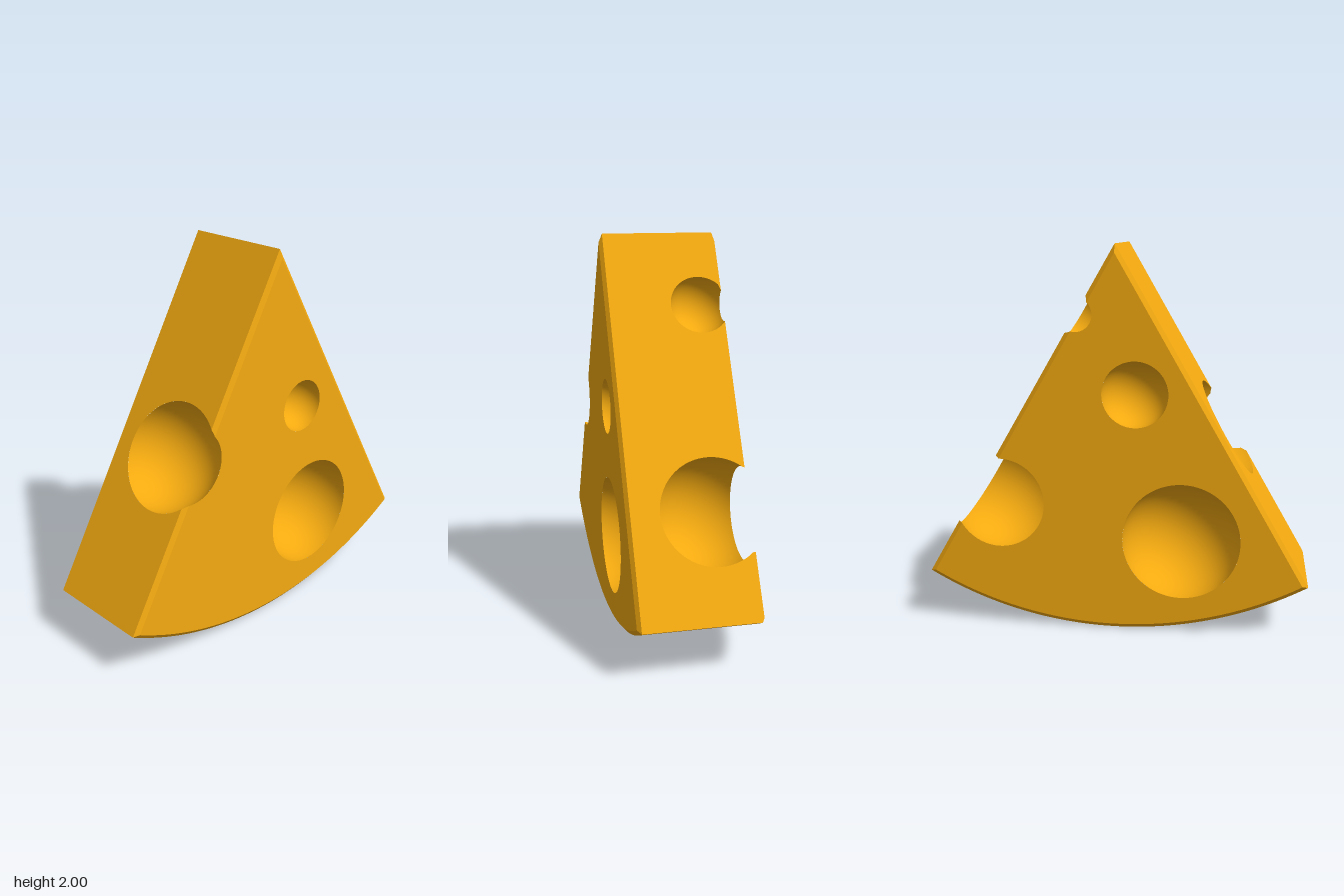
import * as THREE from 'three';

const V = (x, y, z) => new THREE.Vector3(x, y, z);
const R = 2, ZF = 0.305, BEVEL = 0.022, BZ = 0.018; // wedge radius, half thickness, bevel sizes
const C30 = Math.cos(Math.PI / 6);
const material = new THREE.MeshStandardMaterial({ color: 0xf4aa10 });

// Spherical holes: centre and radius
const holes = [
  { name: 'frontLargeHole', c: V(0.265, 0.475, ZF), r: 0.3 },
  { name: 'frontSmallHole', c: V(0.175, 1.14, ZF), r: 0.14 },
  { name: 'backLargeHole', c: V(-0.345, 0.49, -ZF), r: 0.305 },
  { name: 'backSmallHole', c: V(-0.103, 1.253, -ZF), r: 0.17 },
  { name: 'rightEdgeHole', c: V(-0.603, 1.045, 0.09), r: 0.287 },
  { name: 'leftEdgeLargeHole', c: V(0.61, 0.665, -0.122), r: 0.3 },
  { name: 'leftEdgeSmallHole', c: V(0.2, 1.652, -0.18), r: 0.152 },
];

// Keep the part of each triangle where f >= 0
function clip(tris, f) {
  const out = [];
  for (const t of tris) {
    const d = t.map(f);
    if (d.every((v) => v >= 0)) { out.push(t); continue; }
    if (d.every((v) => v < 0)) continue;
    const poly = [];
    for (let i = 0; i < 3; i++) {
      const j = (i + 1) % 3;
      if (d[i] >= 0) poly.push(t[i]);
      if ((d[i] >= 0) !== (d[j] >= 0)) {
        const a = (d[i] >= 0 ? t[i] : t[j]).clone(), b = (d[i] >= 0 ? t[j] : t[i]).clone();
        for (let k = 0; k < 18; k++) {
          const m = a.clone().lerp(b, 0.5);
          (f(m) >= 0 ? a : b).copy(m);
        }
        poly.push(a);
      }
    }
    for (let i = 1; i + 1 < poly.length; i++) out.push([poly[0], poly[i], poly[i + 1]]);
  }
  return out;
}

// Triangles of a parametric patch fn(u, v)
function patch(fn, nu, nv) {
  const tris = [];
  for (let i = 0; i < nu; i++) {
    for (let j = 0; j < nv; j++) {
      const [a, b, c, d] = [[i, j], [i + 1, j], [i + 1, j + 1], [i, j + 1]].map(([u, v]) => fn(u / nu, v / nv));
      tris.push([a, b, c], [a, c, d]);
    }
  }
  return tris;
}

// Mesh whose triangles all turn towards the direction given by facing(point)
function toMesh(name, tris, facing, smooth) {
  const pos = [], nor = [];
  for (const [a, b, c] of tris) {
    const n = b.clone().sub(a).cross(c.clone().sub(a));
    if (n.length() < 1e-10) continue;
    n.normalize();
    const mid = a.clone().add(b).add(c).divideScalar(3);
    const flip = n.dot(facing(mid)) < 0;
    if (flip) n.negate();
    for (const p of flip ? [a, c, b] : [a, b, c]) {
      pos.push(p.x, p.y, p.z);
      const m = smooth ? facing(p).normalize() : n;
      nor.push(m.x, m.y, m.z);
    }
  }
  const g = new THREE.BufferGeometry();
  g.setAttribute('position', new THREE.Float32BufferAttribute(pos, 3));
  g.setAttribute('normal', new THREE.Float32BufferAttribute(nor, 3));
  const mesh = new THREE.Mesh(g, material);
  mesh.name = name;
  return mesh;
}

// Wedge outline inset by b: its tip, and a point on its curved edge
const tip = (b, z) => V(0, R - 2 * b, z);
function arc(b, u, z) {
  const r = R - b, half = Math.PI / 6 - Math.asin(b / r);
  const a = (2 * u - 1) * half;
  return V(r * Math.sin(a), R - r * Math.cos(a), z);
}
const side = (b, u, v, z) => tip(b, z).lerp(arc(b, u, z), v);

export function createModel() {
  const group = new THREE.Group();
  group.name = 'cheeseWedge';
  const zs = ZF - BZ;
  const outward = (p) => p.clone().sub(V(0, 0.8, 0));
  const radial = (p) => V(p.x, p.y - R, 0);
  const add = (name, tris, facing = outward, smooth = false) => {
    for (const h of holes) tris = clip(tris, (p) => p.distanceTo(h.c) - h.r);
    group.add(toMesh(name, tris, facing, smooth));
  };

  // Front and back faces with their bevels
  for (const [label, s] of [['front', 1], ['back', -1]]) {
    add(label + 'Face', patch((u, v) => side(BEVEL, u, v, s * ZF), 64, 90), () => V(0, 0, s));
    for (const [sideName, u] of [['Right', 0], ['Left', 1]]) {
      add(label + sideName + 'Bevel', patch((v, w) =>
        side(0, u, v, s * zs).lerp(side(BEVEL, u, v, s * ZF), w), 160, 2));
    }
    add(label + 'RindBevel', patch((u, w) =>
      arc(0, u, s * zs).lerp(arc(BEVEL, u, s * ZF), w), 64, 1));
  }

  // Straight cut sides
  for (const [name, u] of [['rightSide', 0], ['leftSide', 1]]) {
    add(name, patch((v, w) => side(0, u, v, (2 * w - 1) * zs), 100, 30));
  }

  // Curved rind
  add('rind', patch((u, w) => arc(0, u, (2 * w - 1) * zs), 64, 1), radial, true);

  // Hollow hole walls, trimmed to the wedge
  const inSide = (p) => 1 - C30 * Math.abs(p.x) - 0.5 * p.y;
  const inFace = (p) => ZF - Math.abs(p.z);
  for (const { name, c, r } of holes) {
    let tris = patch((u, v) => V(0, 0, 0).setFromSphericalCoords(r, v * Math.PI, u * Math.PI * 2).add(c), 72, 40);
    tris = clip(tris, inSide);
    tris = clip(tris, inFace);
    tris = clip(tris, (p) => inSide(p) / BEVEL + inFace(p) / BZ - 1);
    group.add(toMesh(name, tris, (p) => c.clone().sub(p), true));
  }
  return group;
}
